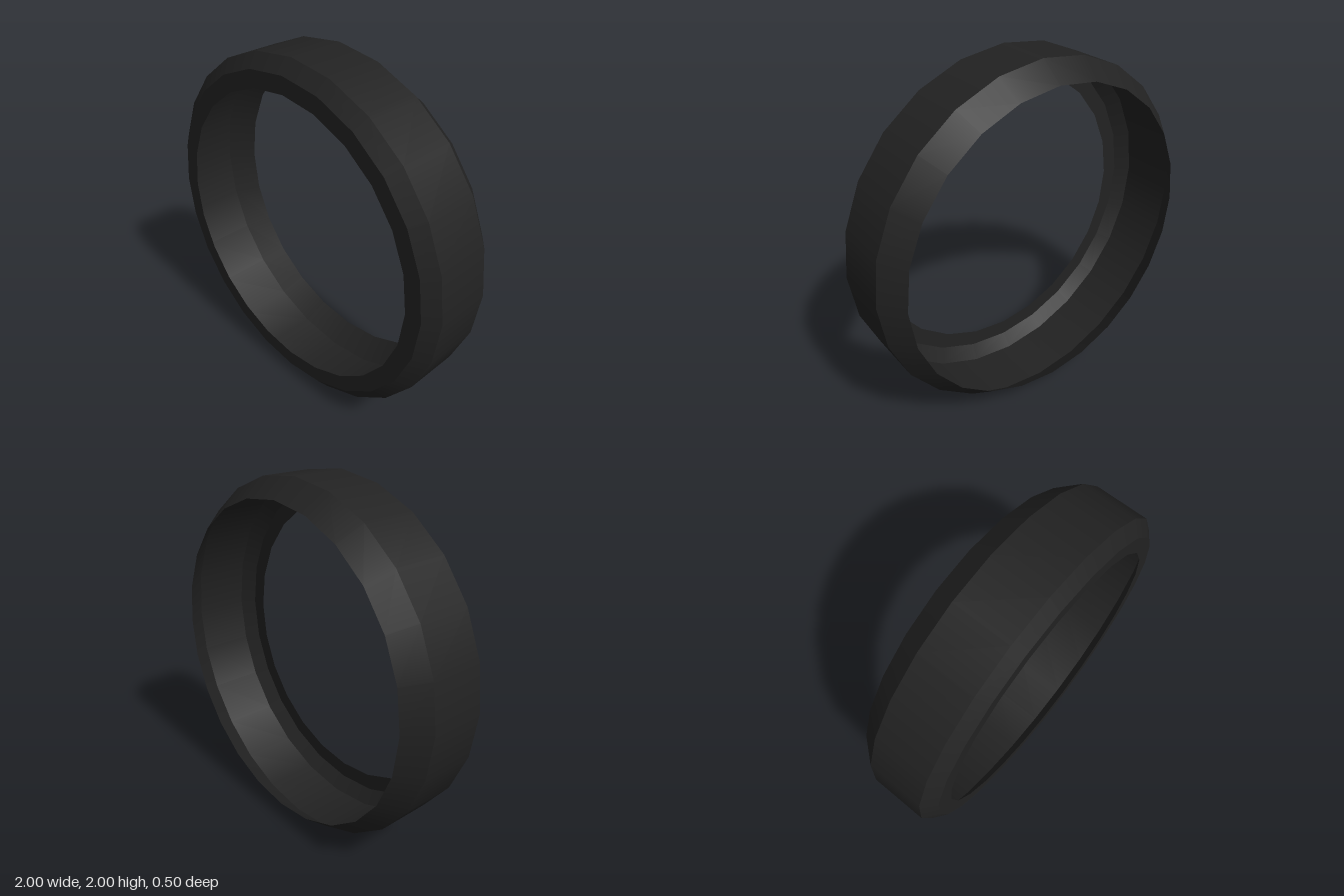
import * as THREE from 'three';

const SIDES = 24;

export function createModel() {
  const group = new THREE.Group();
  group.name = 'tire';
  // Open shell: the inside of each band is visible too
  const rubber = new THREE.MeshStandardMaterial({ color: 0x222222, side: THREE.DoubleSide });

  // Profile from the back rim to the front bead: [radius, z]
  const profile = [[0.9, -0.25], [1, -0.125], [1, 0.19], [0.925, 0.25], [0.83, 0.25]];
  const names = ['backShoulder', 'tread', 'frontShoulder', 'frontSidewall'];

  // One lathe per band keeps the edges between bands sharp
  names.forEach((name, i) => {
    const points = [profile[i], profile[i + 1]].map(([r, z]) => new THREE.Vector2(r, z));
    const geometry = new THREE.LatheGeometry(points, SIDES);
    geometry.rotateX(Math.PI / 2);
    geometry.translate(0, 1, 0);
    const band = new THREE.Mesh(geometry, rubber);
    band.name = name;
    group.add(band);
  });

  return group;
}
